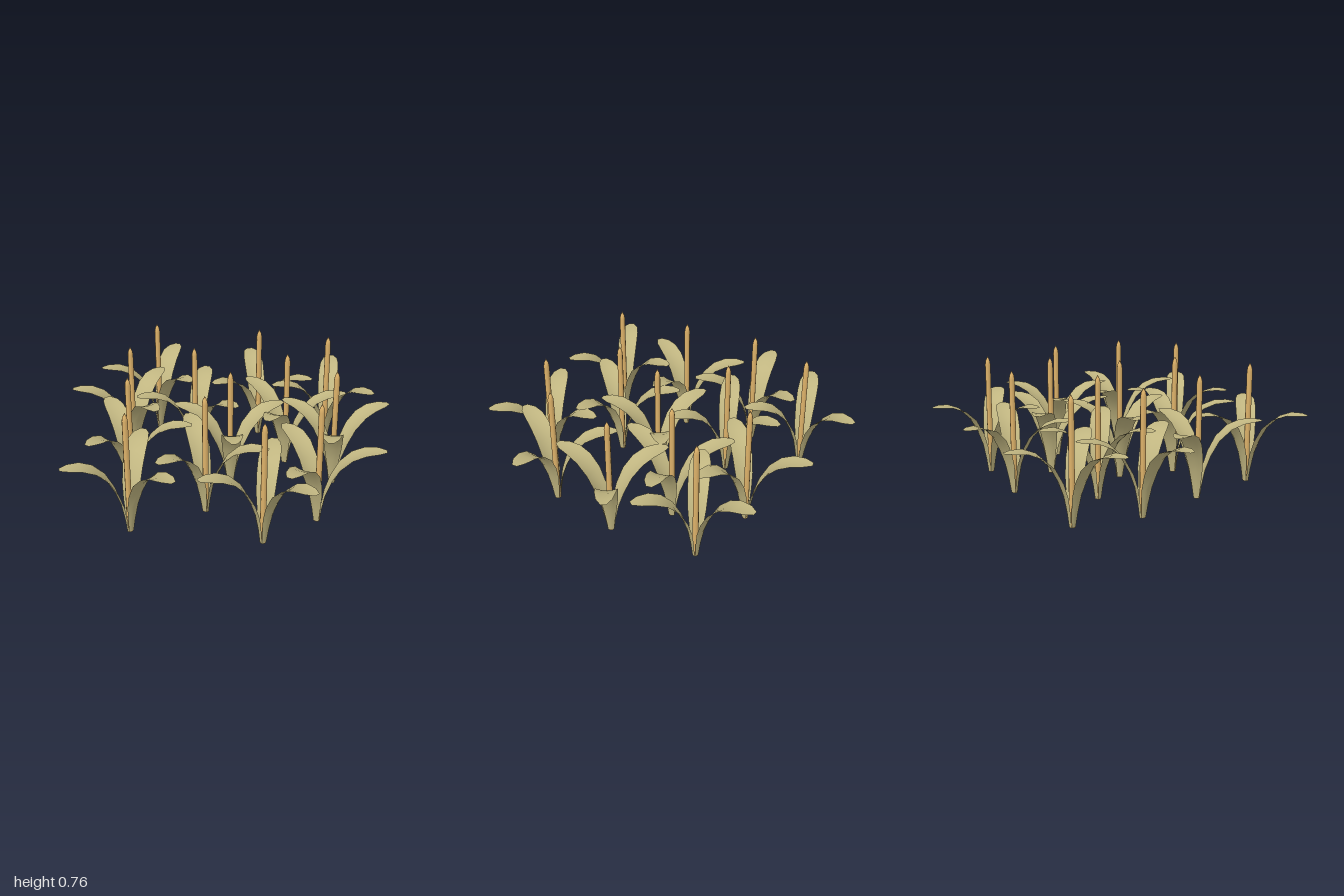
import * as THREE from 'three';

const leafMaterial = new THREE.MeshStandardMaterial({ color: 0xc1b681, side: THREE.DoubleSide });
leafMaterial.name = 'dry leaf green';
const stalkMaterial = new THREE.MeshStandardMaterial({ color: 0xdfb36a });
stalkMaterial.name = 'straw stalk';

// Leaf cross-sections from base to tip: distance from stalk, height, half width
const LEAF_ROWS = [
  [0.016, 0, 0.017], [0.026, 0.08, 0.027], [0.045, 0.18, 0.041], [0.077, 0.27, 0.053],
  [0.125, 0.36, 0.06], [0.19, 0.425, 0.063], [0.26, 0.458, 0.06], [0.33, 0.469, 0.046],
  [0.378, 0.471, 0.017],
];

// Plants: x, z, heading of the first leaf in degrees (from +x towards +z)
const PLANTS = [
  [-0.53, -0.615, -79], [0.152, -0.6, -105], [0.603, -0.525, -87], [-0.627, -0.207, -69],
  [-0.225, -0.242, -86], [0.362, -0.213, -137], [0.672, 0.016, -31.5], [0.042, 0.097, -161],
  [-0.548, 0.253, -123], [-0.467, 0.712, -87], [-0.063, 0.447, -114], [0.302, 0.74, -86],
  [0.597, 0.472, -127],
];
const LEAF_TURNS = [0, 124, 241];

// Arching leaf along +x, cupped towards its upper side
function leafGeometry() {
  const across = 4;
  const last = LEAF_ROWS.length - 1;
  const positions = [];
  const index = [];
  LEAF_ROWS.forEach(([r, y, w], i) => {
    const a = LEAF_ROWS[Math.max(i - 1, 0)];
    const b = LEAF_ROWS[Math.min(i + 1, last)];
    const tangent = new THREE.Vector2(b[0] - a[0], b[1] - a[1]).normalize();
    const depth = 0.27 * w * (1 - (i / last) ** 2);
    for (let j = 0; j <= across; j++) {
      const s = (j / across) * 2 - 1;
      const lift = depth * s * s;
      // The foot row stays level with the ground
      positions.push(r - tangent.y * lift, i ? y + tangent.x * lift : 0, s * w);
      if (i < last && j < across) {
        const p = i * (across + 1) + j;
        const q = p + across + 1;
        index.push(p, p + 1, q, p + 1, q + 1, q);
      }
    }
  });
  const geometry = new THREE.BufferGeometry();
  geometry.setAttribute('position', new THREE.Float32BufferAttribute(positions, 3));
  geometry.setIndex(index);
  geometry.computeVertexNormals();
  return geometry;
}

// Upright stalk with a pointed top
function stalkGeometry() {
  const profile = [[0, 0], [0.0175, 0], [0.0175, 0.705], [0.013, 0.73], [0, 0.757]];
  return new THREE.LatheGeometry(profile.map(([x, y]) => new THREE.Vector2(x, y)), 8);
}

export function createModel() {
  const model = new THREE.Group();
  model.name = 'plantPatch';
  const leafShape = leafGeometry();
  const stalkShape = stalkGeometry();

  for (const [x, z, heading] of PLANTS) {
    const plant = new THREE.Group();
    plant.name = 'plant';
    plant.position.set(x, 0, z);

    const stalk = new THREE.Mesh(stalkShape, stalkMaterial);
    stalk.name = 'stalk';
    plant.add(stalk);

    for (const turn of LEAF_TURNS) {
      const leaf = new THREE.Mesh(leafShape, leafMaterial);
      leaf.name = 'leaf';
      leaf.rotation.y = -THREE.MathUtils.degToRad(heading + turn);
      plant.add(leaf);
    }
    model.add(plant);
  }
  return model;
}
